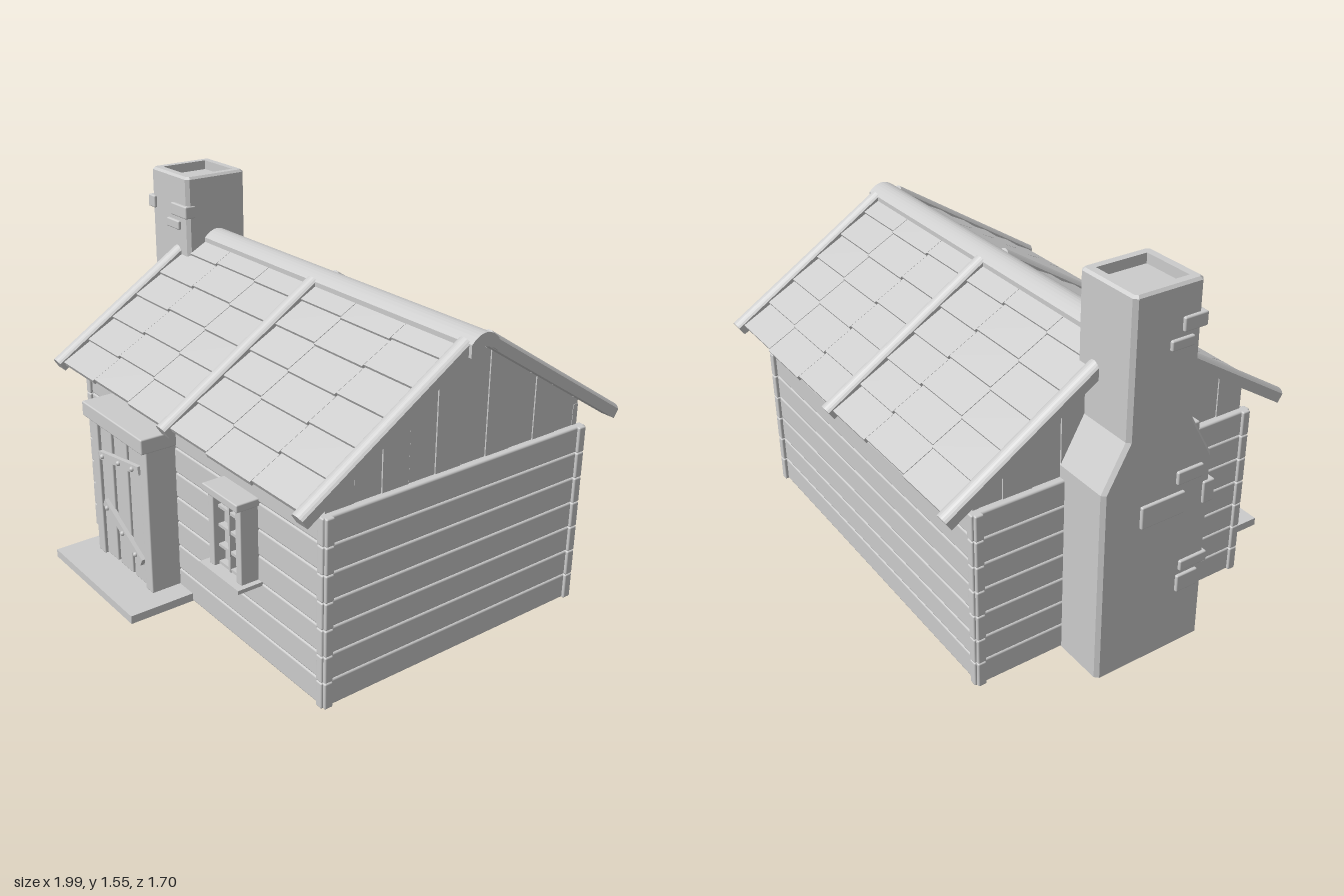
import * as THREE from 'three';
import { RoundedBoxGeometry } from 'three/addons/geometries/RoundedBoxGeometry.js';

const mat = new THREE.MeshStandardMaterial({ color: 0xcccccc });
const flat = new THREE.MeshStandardMaterial({ color: 0xcccccc, flatShading: true });

function add(parent, name, geo, material = mat) {
  const m = new THREE.Mesh(geo, material);
  m.name = name;
  parent.add(m);
  return m;
}
// Box given by its limits; r > 0 rounds the edges
function box(parent, name, x0, x1, y0, y1, z0, z1, r = 0) {
  const w = x1 - x0, h = y1 - y0, d = z1 - z0;
  const geo = r ? new RoundedBoxGeometry(w, h, d, 2, r) : new THREE.BoxGeometry(w, h, d);
  const m = add(parent, name, geo);
  m.position.set((x0 + x1) / 2, (y0 + y1) / 2, (z0 + z1) / 2);
  return m;
}
function group(parent, name) {
  const g = new THREE.Group();
  g.name = name;
  parent.add(g);
  return g;
}
// Extrude a (z, y) outline along x from x0 to x1
function extrudeX(parent, name, shape, x0, x1) {
  const geo = new THREE.ExtrudeGeometry(shape, { depth: x1 - x0, bevelEnabled: false, curveSegments: 10 });
  geo.rotateY(Math.PI / 2);          // shape x -> -z, depth -> +x
  const m = add(parent, name, geo);
  m.position.x = x0;
  return m;
}
// Loft through rectangles with cut corners: [y, x0, x1, z0, z1, cut]
function loft(levels) {
  const rings = levels.map(([y, x0, x1, z0, z1, c]) => [
    [x1, y, z0 + c], [x1, y, z1 - c], [x1 - c, y, z1], [x0 + c, y, z1],
    [x0, y, z1 - c], [x0, y, z0 + c], [x0 + c, y, z0], [x1 - c, y, z0]]);
  const pos = [];
  for (let k = 0; k + 1 < rings.length; k++) {
    for (let i = 0; i < 8; i++) {
      const j = (i + 1) % 8;
      const a = rings[k][i], b = rings[k][j], c = rings[k + 1][j], d = rings[k + 1][i];
      pos.push(...a, ...d, ...c, ...a, ...c, ...b);
    }
  }
  const geo = new THREE.BufferGeometry();
  geo.setAttribute('position', new THREE.Float32BufferAttribute(pos, 3));
  geo.computeVertexNormals();
  return geo;
}

const RIDGE_Z = -0.08, RIDGE_Y = 1.265, SLOPE = 0.64;
const underRoof = z => RIDGE_Y - SLOPE * Math.abs(z - RIDGE_Z);

function buildWalls(root) {
  const g = group(root, 'walls');
  const h = 0.11;
  for (let i = 0; i < 7; i++) {
    const y0 = i * h, y1 = y0 + h - 0.002;
    // Horizontal boards
    box(g, 'frontBoard', -0.75, 0.93, y0, y1, 0.515, 0.558, 0.008);
    box(g, 'backBoard', -0.75, 0.93, y0, y1, -0.708, -0.665, 0.008);
    box(g, 'rightBoard', -0.758, -0.715, y0, y1, -0.7, 0.55, 0.008);
    box(g, 'leftBoard', 0.895, 0.938, y0, y1, -0.7, 0.55, 0.008);
    // Paired corner blocks
    for (const x of [-0.757, 0.903]) {
      box(g, 'cornerBlock', x, x + 0.034, y0, y1, 0.53, 0.57, 0.006);
      box(g, 'cornerBlock', x, x + 0.034, y0, y1, -0.723, -0.68, 0.006);
    }
    for (const z of [-0.714, 0.526]) {
      box(g, 'cornerBlock', 0.91, 0.95, y0, y1, z, z + 0.036, 0.006);
      box(g, 'cornerBlock', -0.77, -0.73, y0, y1, z, z + 0.036, 0.006);
    }
  }
  // Top plates closing the gap under the eaves
  box(g, 'frontTopPlate', -0.73, 0.91, 0.76, 0.855, 0.515, 0.54);
  box(g, 'backTopPlate', -0.73, 0.91, 0.76, 0.855, -0.7, -0.675);
}

function buildGables(root) {
  const g = group(root, 'gables');
  const n = 10, w = 1.24 / n;
  for (let i = 0; i < n; i++) {
    const a = -0.7 + i * w + 0.001, b = a + w - 0.003;
    const s = new THREE.Shape();
    s.moveTo(-b, 0.75);
    s.lineTo(-a, 0.75);
    s.lineTo(-a, underRoof(a) + 0.01);
    s.lineTo(-b, underRoof(b) + 0.01);
    s.closePath();
    const proud = (i % 2) * 0.003;
    extrudeX(g, 'gableBoard', s, 0.88, 0.908 + proud);
    extrudeX(g, 'gableBoard', s, -0.728 - proud, -0.7);
  }
}

function buildRoof(root) {
  const g = group(root, 'roof');
  const cols = [-0.76, -0.48, -0.195, 0.09, 0.375, 0.66, 0.95];
  const step = 0.145, angle = Math.atan(SLOPE);
  for (const s of [1, -1]) {
    const side = group(g, s > 0 ? 'frontSlope' : 'backSlope');
    side.position.set(0, RIDGE_Y, RIDGE_Z);
    side.rotation.x = s * angle;
    // Overlapping shingles, neighbouring columns slightly staggered
    for (let c = 0; c < 6; c++) {
      for (let r = 0; r < 6; r++) {
        const end = 0.873 - r * step - (c % 2) * 0.008;
        const start = Math.max(0, end - step - 0.035), mid = (start + end) / 2;
        const t = box(side, 'shingle', cols[c] + 0.001, cols[c + 1] - 0.001, 0.008, 0.028,
          s * mid - (end - start) / 2, s * mid + (end - start) / 2);
        t.rotation.x = -s * 0.085;
      }
    }
    // Rounded battens running down the slope
    for (const x of [-0.775, 0.09, 0.955]) {
      const half = new THREE.Shape();
      half.moveTo(-0.031, 0);
      half.lineTo(0.031, 0);
      half.lineTo(0.031, 0.04);
      half.quadraticCurveTo(0, 0.072, -0.031, 0.04);
      const geo = new THREE.ExtrudeGeometry(half, { depth: 0.85, bevelEnabled: false, curveSegments: 8 });
      add(side, 'batten', geo).position.set(x, 0, s > 0 ? 0.04 : -0.89);
    }
  }
  // Curved ridge cap
  const cap = new THREE.Shape();
  cap.moveTo(0.065, 1.225);
  cap.lineTo(0.065, 1.275);
  cap.quadraticCurveTo(0, 1.34, -0.065, 1.275);
  cap.lineTo(-0.065, 1.225);
  cap.quadraticCurveTo(0, 1.285, 0.065, 1.225);
  extrudeX(g, 'ridgeCap', cap, -0.8, 1.0).position.z = RIDGE_Z;
}

function buildChimney(root) {
  const g = group(root, 'chimney');
  const L = -0.98, R = -0.68;
  add(g, 'chimneyStack', loft([
    [0, -0.83, -0.83, -0.08, -0.08, 0],
    [0, L, R, -0.33, 0.17, 0.015],
    [0.82, L, R, -0.33, 0.17, 0.015],
    [1.0, L, R, -0.23, 0.07, 0.015],
    [1.54, L, R, -0.23, 0.07, 0.015],
    [1.55, L + 0.01, R - 0.01, -0.22, 0.06, 0.01],
    [1.55, L + 0.04, R - 0.04, -0.19, 0.03, 0],
    [1.51, L + 0.04, R - 0.04, -0.19, 0.03, 0],
    [1.51, -0.83, -0.83, -0.08, -0.08, 0]]), flat);
  // Stones on the front face: x0, x1, y0, y1, z of the face
  for (const [x0, x1, y0, y1, z] of [
    [-0.8, -0.675, 1.37, 1.425, 0.07], [-0.84, -0.74, 1.31, 1.35, 0.07],
    [-0.92, -0.8, 0.87, 0.935, 0.14], [-0.85, -0.74, 0.75, 0.805, 0.17],
    [-0.99, -0.78, 0.62, 0.715, 0.17], [-0.88, -0.75, 0.35, 0.395, 0.17],
    [-0.85, -0.74, 0.255, 0.33, 0.17]]) box(g, 'frontStone', x0, x1, y0, y1, z - 0.04, z + 0.013, 0.006);
  // Stones on the outer face: z0, z1, y0, y1
  for (const [z0, z1, y0, y1] of [
    [-0.02, 0.083, 1.37, 1.425], [-0.07, 0.03, 1.31, 1.35], [0.0, 0.12, 0.75, 0.805],
    [-0.16, 0.04, 0.62, 0.715], [0.04, 0.17, 0.35, 0.395], [0.03, 0.13, 0.255, 0.33]])
    box(g, 'sideStone', -0.993, -0.94, y0, y1, z0, z1, 0.006);
}

function buildDoor(root) {
  const g = group(root, 'door');
  box(g, 'doorStep', -0.595, 0.06, 0, 0.035, 0.55, 0.845);
  box(g, 'doorPost', -0.495, -0.44, 0.035, 0.675, 0.54, 0.69, 0.005);
  box(g, 'doorPost', -0.09, -0.035, 0.035, 0.675, 0.54, 0.69, 0.005);
  box(g, 'doorLintel', -0.515, -0.025, 0.67, 0.735, 0.54, 0.715, 0.006);
  box(g, 'doorBacking', -0.44, -0.09, 0.035, 0.67, 0.55, 0.655);
  for (const [a, b] of [[-0.438, -0.345], [-0.323, -0.217], [-0.2, -0.092]])
    box(g, 'doorPlank', a, b, 0.04, 0.665, 0.65, 0.678, 0.005);
  // Iron straps with three nails each
  for (const [xa, ya, xb, yb] of [[-0.425, 0.515, -0.095, 0.57], [-0.41, 0.3, -0.11, 0.145]]) {
    const len = Math.hypot(xb - xa, yb - ya);
    const strap = group(g, 'doorStrap');
    strap.position.set((xa + xb) / 2, (ya + yb) / 2, 0);
    strap.rotation.z = Math.atan2(yb - ya, xb - xa);
    box(strap, 'strapBar', -len / 2, len / 2, -0.018, 0.018, 0.674, 0.696);
    for (const t of [-0.4, 0.02, 0.36])
      add(strap, 'nail', new THREE.SphereGeometry(0.011, 8, 6)).position.set(t * len, 0, 0.698);
  }
}

function buildWindow(root) {
  const g = group(root, 'window');
  box(g, 'windowPost', 0.322, 0.357, 0.335, 0.648, 0.54, 0.635, 0.004);
  box(g, 'windowPost', 0.503, 0.538, 0.335, 0.648, 0.54, 0.635, 0.004);
  box(g, 'windowLintel', 0.315, 0.545, 0.645, 0.677, 0.54, 0.655, 0.005);
  box(g, 'windowSill', 0.295, 0.56, 0.32, 0.336, 0.54, 0.665);
  box(g, 'windowPane', 0.35, 0.51, 0.33, 0.65, 0.55, 0.585);
  box(g, 'windowBar', 0.424, 0.436, 0.335, 0.648, 0.57, 0.615);
  for (const y of [0.345, 0.42, 0.505, 0.585])
    box(g, 'windowBar', 0.355, 0.505, y - 0.006, y + 0.006, 0.57, 0.612);
}

export function createModel() {
  const root = new THREE.Group();
  root.name = 'cabin';
  buildWalls(root);
  buildGables(root);
  buildRoof(root);
  buildChimney(root);
  buildDoor(root);
  buildWindow(root);
  return root;
}
